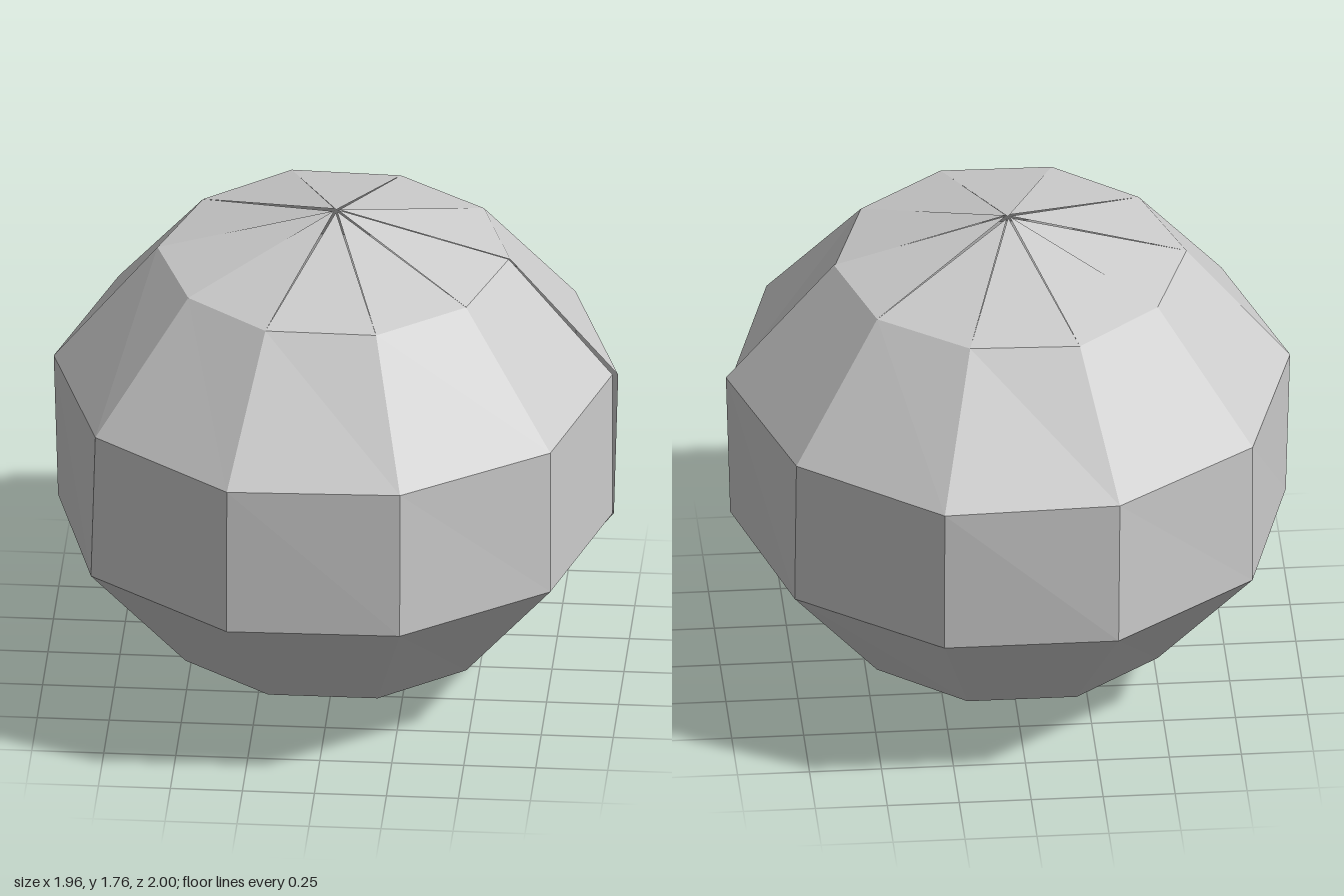
import * as THREE from 'three';

// Rings of [x, z] corners, running from +x past the front and round to the seam at +x
const rings = [
  { y: 1.59, p: [[0.6, 0], [0.48, 0.375], [0.185, 0.61], [-0.2, 0.605], [-0.485, 0.375], [-0.62, 0], [-0.49, -0.375], [-0.2, -0.62], [0.18, -0.605], [0.485, -0.38], [0.605, 0]] },
  { y: 1.155, p: [[0.96, 0], [0.79, 0.61], [0.295, 0.97], [-0.305, 0.99], [-0.79, 0.61], [-0.98, 0], [-0.8, -0.62], [-0.31, -0.98], [0.3, -1], [0.785, -0.62], [0.98, 0]] },
  { y: 0.615, p: [[0.96, 0], [0.79, 0.61], [0.295, 0.985], [-0.305, 0.995], [-0.805, 0.61], [-0.965, 0], [-0.8, -0.61], [-0.305, -0.985], [0.3, -0.985], [0.79, -0.61], [0.965, 0]] },
  { y: 0.175, p: [[0.605, 0], [0.48, 0.37], [0.19, 0.605], [-0.19, 0.605], [-0.495, 0.37], [-0.61, 0], [-0.49, -0.37], [-0.19, -0.61], [0.19, -0.61], [0.485, -0.37], [0.605, 0]] },
];
const sides = 10;

export function createModel() {
  const group = new THREE.Group();
  group.name = 'facetedBall';
  const grey = new THREE.MeshStandardMaterial({ color: 0xcccccc, flatShading: true, side: THREE.DoubleSide });
  grey.name = 'light grey';

  const corner = (r, i) => [rings[r].p[i][0], rings[r].y, rings[r].p[i][1]];
  // Each cap wedge has its own tip, leaving hairline gaps at the poles
  const tip = (y, i) => {
    const a = (i + 0.5) / sides * Math.PI * 2;
    return [0.008 * Math.cos(a), y, 0.008 * Math.sin(a)];
  };
  const addPart = (name, faces) => {
    const geometry = new THREE.BufferGeometry();
    geometry.setAttribute('position', new THREE.Float32BufferAttribute(faces.flat(2), 3));
    geometry.computeVertexNormals();
    const mesh = new THREE.Mesh(geometry, grey);
    mesh.name = name;
    group.add(mesh);
  };

  // Top and bottom caps
  const top = [], bottom = [];
  for (let i = 0; i < sides; i++) {
    const wobble = (i % 3) * 0.004;
    top.push([tip(1.76 - wobble, i), corner(0, i + 1), corner(0, i)]);
    bottom.push([tip(wobble, i), corner(3, i), corner(3, i + 1)]);
  }
  addPart('topCap', top);
  addPart('bottomCap', bottom);

  // Three bands of quads between the rings
  ['upperBand', 'middleBand', 'lowerBand'].forEach((name, r) => {
    const faces = [];
    for (let i = 0; i < sides; i++) {
      const a = corner(r, i), b = corner(r, i + 1), c = corner(r + 1, i + 1), d = corner(r + 1, i);
      faces.push([a, b, d], [b, c, d]);
    }
    addPart(name, faces);
  });
  return group;
}
